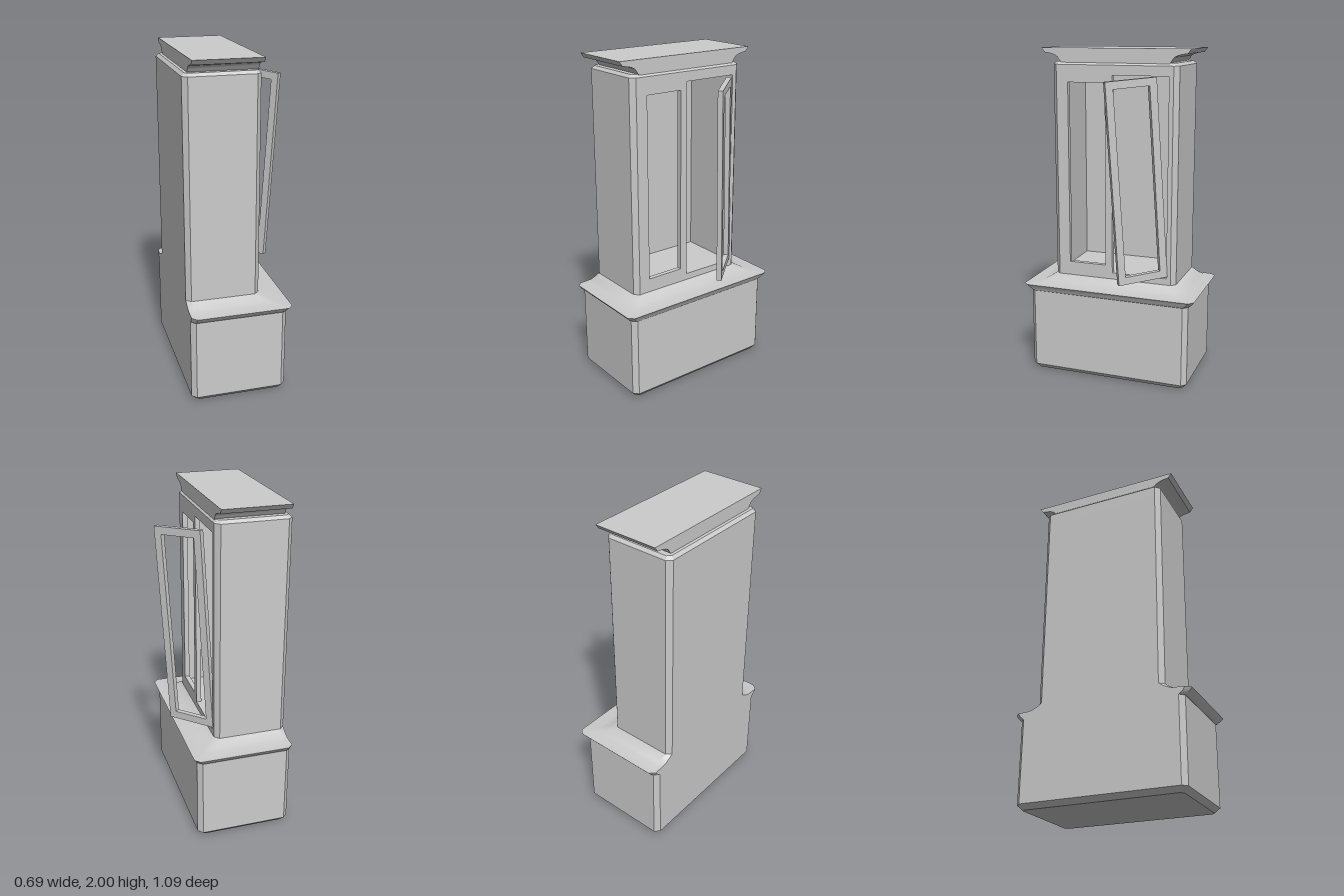
import * as THREE from 'three';
import { toCreasedNormals } from 'three/addons/utils/BufferGeometryUtils.js';

const material = new THREE.MeshStandardMaterial({ color: 0xcccccc });
const BACK = -0.35, FRONT = 0.09, HALF = 0.39, BEVEL = 0.028;

// Rectangle with cut corners, as [x, z] pairs
function footprint(x0, x1, zh, c) {
  return [[x1, -zh + c], [x1, zh - c], [x1 - c, zh], [x0 + c, zh],
    [x0, zh - c], [x0, -zh + c], [x0 + c, -zh], [x1 - c, -zh]];
}

// Capped skin over stacked footprints; each section is [y, x0, x1, halfDepth, cut]
function loft(sections) {
  const pos = [], index = [], n = 8;
  for (const [y, ...plan] of sections) {
    for (const [x, z] of footprint(...plan)) pos.push(x, y, z);
  }
  for (let s = 0; s < sections.length - 1; s++) {
    for (let i = 0; i < n; i++) {
      const a = s * n + i, b = s * n + (i + 1) % n;
      index.push(a, a + n, b, b, a + n, b + n);
    }
  }
  const top = (sections.length - 1) * n;
  for (let i = 1; i < n - 1; i++) {
    index.push(0, i, i + 1, top, top + i + 1, top + i);
  }
  const geo = new THREE.BufferGeometry();
  geo.setAttribute('position', new THREE.Float32BufferAttribute(pos, 3));
  geo.setIndex(index);
  return toCreasedNormals(geo, 0.5);
}

function part(name, geometry) {
  const mesh = new THREE.Mesh(geometry, material);
  mesh.name = name;
  return mesh;
}

// Rectangular frame in the XY plane, centred on the origin
function doorFrame(w, h, border, depth) {
  const rect = (T, a, b) => new T([[-a, -b], [a, -b], [a, b], [-a, b]].map(p => new THREE.Vector2(...p)));
  const shape = rect(THREE.Shape, w / 2, h / 2);
  shape.holes.push(rect(THREE.Path, w / 2 - border, h / 2 - border));
  const geo = new THREE.ExtrudeGeometry(shape, { depth, bevelEnabled: false });
  return geo.translate(0, 0, -depth / 2);
}

export function createModel() {
  const group = new THREE.Group();

  // Lower chest with bevelled edges
  group.add(part('base', loft([
    [0, BACK + BEVEL, 0.2, 0.475, 0.02],
    [0.03, BACK, 0.226, 0.503, BEVEL],
    [0.53, BACK, 0.226, 0.503, BEVEL],
  ])));

  // Ledge moulding: flares out, then sweeps in to the upper cabinet
  group.add(part('ledgeMoulding', loft([
    [0.522, BACK, 0.226, 0.505, BEVEL],
    [0.53, BACK, 0.232, 0.515, BEVEL],
    [0.545, BACK, 0.238, 0.53, BEVEL],
    [0.563, BACK, 0.252, 0.543, 0.03],
    [0.566, BACK, 0.18, 0.47, 0.03],
    [0.575, BACK, 0.15, 0.443, 0.03],
    [0.588, BACK, 0.12, 0.417, 0.03],
    [0.605, BACK, FRONT, HALF, BEVEL],
  ])));

  // Cabinet floor and roof slabs
  group.add(part('cabinetFloor', loft([
    [0.6, BACK, FRONT, HALF, BEVEL],
    [0.645, BACK, FRONT, HALF, BEVEL],
  ])));
  group.add(part('cabinetRoof', loft([
    [1.845, BACK, FRONT, HALF, BEVEL],
    [1.903, BACK, FRONT, HALF, BEVEL],
    [1.92, BACK + 0.017, FRONT - 0.017, HALF - 0.017, 0.02],
  ])));

  // Cabinet walls: C-shaped plan, open at the doors
  const inner = 0.335;
  const outline = footprint(BACK, FRONT, HALF, BEVEL);
  const plan = [...outline.slice(1), outline[0],
    [FRONT, -inner], [-0.3, -inner], [-0.3, inner], [FRONT, inner]];
  const walls = new THREE.ExtrudeGeometry(
    new THREE.Shape(plan.map(([x, z]) => new THREE.Vector2(x, -z))),
    { depth: 1.2, bevelEnabled: false });
  walls.rotateX(-Math.PI / 2).translate(0, 0.645, 0);
  group.add(part('cabinetWalls', walls));

  // Closed door, flush with the front face
  const closed = part('closedDoor', doorFrame(0.325, 1.2, 0.045, 0.03));
  closed.rotation.y = Math.PI / 2;
  closed.position.set(FRONT - 0.015, 1.245, 0.1725);
  group.add(closed);

  // Open door, swung out and sagging on its hinge
  const open = part('openDoor', doorFrame(0.31, 1.19, 0.045, 0.03));
  open.rotation.set(0, -Math.atan2(0.766, 0.644), -0.07);
  open.position.set(0.205, 1.241, -0.183);
  group.add(open);

  // Crown: flared profile running from back to front
  const crown = new THREE.Shape();
  crown.moveTo(-0.335, 1.915);
  crown.lineTo(0.335, 1.915);
  crown.lineTo(0.35, 1.935);
  crown.quadraticCurveTo(0.36, 1.965, 0.44, 1.972);
  crown.lineTo(0.461, 2);
  crown.lineTo(-0.461, 2);
  crown.lineTo(-0.44, 1.972);
  crown.quadraticCurveTo(-0.36, 1.965, -0.35, 1.935);
  const crownGeo = new THREE.ExtrudeGeometry(crown, { depth: 0.397, bevelEnabled: false, curveSegments: 6 });
  crownGeo.rotateY(Math.PI / 2).translate(-0.315, 0, 0);
  group.add(part('crown', toCreasedNormals(crownGeo, 0.5)));

  return group;
}
